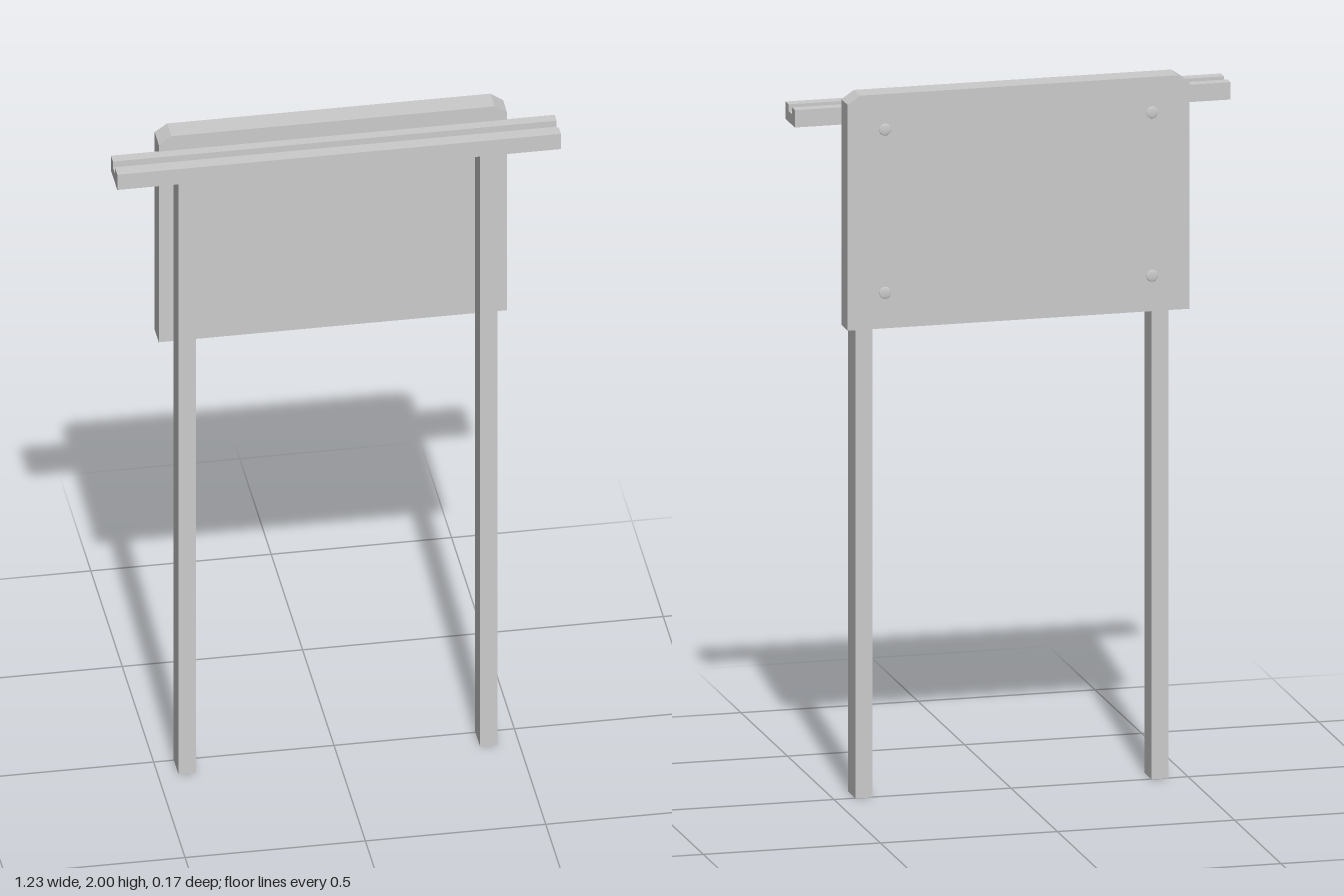
import * as THREE from 'three';

const material = new THREE.MeshStandardMaterial({ color: 0xcccccc, flatShading: true });
const smooth = new THREE.MeshStandardMaterial({ color: 0xcccccc });

// Extrudes an outline of [x, y] points, centred on z = 0
function slab(points, depth) {
  const shape = new THREE.Shape(points.map(([x, y]) => new THREE.Vector2(x, y)));
  return new THREE.ExtrudeGeometry(shape, { depth, bevelEnabled: false }).translate(0, 0, -depth / 2);
}

export function createModel() {
  const group = new THREE.Group();
  const add = (name, geometry, x, y, z, mat = material) => {
    const mesh = new THREE.Mesh(geometry, mat);
    mesh.name = name;
    mesh.position.set(x, y, z);
    group.add(mesh);
    return mesh;
  };

  // Two tall posts
  const post = new THREE.BoxGeometry(0.048, 1.905, 0.079);
  add('leftPost', post, 0.416, 0.9525, 0.035);
  add('rightPost', post, -0.42, 0.9525, 0.035);

  // Top rail with a groove along its length (profile in z, y)
  const rail = slab([
    [-0.018, 1.905], [0.082, 1.905], [0.082, 1.954], [0.049, 1.954],
    [0.049, 1.935], [0.013, 1.935], [0.013, 1.954], [-0.018, 1.954],
  ], 1.23);
  rail.scale(-1, 1, 1).rotateY(Math.PI / 2);
  // Mirroring reverses the faces, so swap two corners of each triangle
  const pos = rail.attributes.position;
  for (let i = 0; i < pos.count; i += 3) {
    const a = new THREE.Vector3().fromBufferAttribute(pos, i);
    const b = new THREE.Vector3().fromBufferAttribute(pos, i + 1);
    pos.setXYZ(i, b.x, b.y, b.z);
    pos.setXYZ(i + 1, a.x, a.y, a.z);
  }
  rail.computeVertexNormals();
  add('groovedRail', rail, 0, 0, 0);

  // Back board with clipped upper corners
  add('backBoard', slab([
    [-0.483, 1.34], [0.483, 1.34], [0.483, 1.976], [0.448, 2],
    [-0.448, 2], [-0.483, 1.976],
  ], 0.067), 0, 0, -0.0495);

  // Shallow domed screw heads on the back of the board
  const screw = new THREE.SphereGeometry(0.017, 20, 6, 0, Math.PI * 2, 0, Math.PI / 2)
    .scale(1, 0.16, 1).rotateX(-Math.PI / 2);
  for (const x of [-0.377, 0.377]) {
    for (const y of [1.44, 1.9]) add('screwHead', screw, x, y, -0.083, smooth);
  }

  return group;
}
